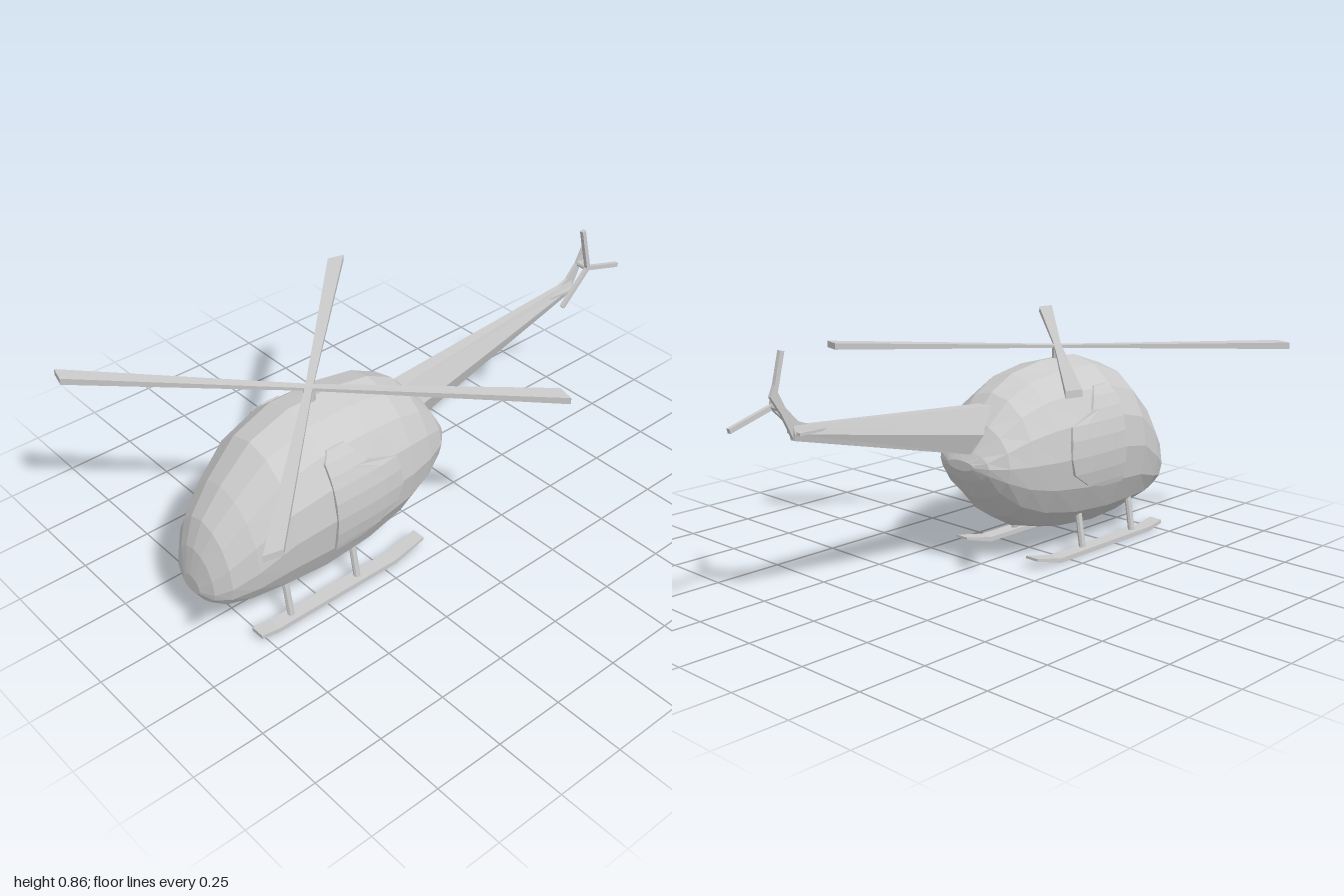
import * as THREE from 'three';

const material = new THREE.MeshStandardMaterial({ color: 0xcccccc, flatShading: true });

function part(name, geometry, parent) {
  const mesh = new THREE.Mesh(geometry, material);
  mesh.name = name;
  parent.add(mesh);
  return mesh;
}

// Skin over rings of [x, y, z] points, counterclockwise about +z, ordered toward +z
function loft(rings) {
  const n = rings[0].length, pos = rings.flat(2), index = [];
  rings.slice(1).forEach((_, r) => {
    for (let i = 0; i < n; i++) {
      const a = r * n + i, b = r * n + (i + 1) % n;
      index.push(a, b, b + n, a, b + n, a + n);
    }
  });
  const last = (rings.length - 1) * n;
  for (let i = 1; i < n - 1; i++) {
    index.push(0, i + 1, i, last, last + i, last + i + 1);
  }
  const g = new THREE.BufferGeometry();
  g.setAttribute('position', new THREE.Float32BufferAttribute(pos, 3));
  g.setIndex(index);
  const flat = g.toNonIndexed();
  flat.computeVertexNormals();
  return flat;
}

const rect = (x0, x1, y0, y1, z) => [[x0, y0, z], [x1, y0, z], [x1, y1, z], [x0, y1, z]];

// Cabin stations: z, bottom, widest height, top, half width
const stations = [
  [-0.10, 0.36, 0.38, 0.395, 0.06],
  [-0.08, 0.32, 0.38, 0.43, 0.115],
  [-0.03, 0.25, 0.38, 0.52, 0.165],
  [0.05, 0.165, 0.38, 0.605, 0.2],
  [0.15, 0.11, 0.38, 0.655, 0.225],
  [0.30, 0.07, 0.38, 0.68, 0.24],
  [0.48, 0.052, 0.38, 0.678, 0.242],
  [0.63, 0.06, 0.35, 0.625, 0.22],
  [0.75, 0.08, 0.28, 0.515, 0.185],
  [0.83, 0.105, 0.23, 0.42, 0.145],
  [0.87, 0.135, 0.2, 0.33, 0.1],
  [0.89, 0.165, 0.19, 0.23, 0.045],
];

function cabinRing([z, bottom, mid, top, w]) {
  return Array.from({ length: 16 }, (_, i) => {
    const a = i * Math.PI / 8, s = Math.sin(a);
    return [w * Math.cos(a), mid + s * (s > 0 ? top - mid : mid - bottom), z];
  });
}

// Half width of the cabin at a given z and y
function cabinX(z, y) {
  const k = stations.findIndex((s, i) => i > 0 && s[0] >= z);
  const t = (z - stations[k - 1][0]) / (stations[k][0] - stations[k - 1][0]);
  const [, bottom, mid, top, w] = stations[k].map((v, i) => THREE.MathUtils.lerp(stations[k - 1][i], v, t));
  const s = (y - mid) / (y > mid ? top - mid : mid - bottom);
  return w * Math.sqrt(Math.max(0, 1 - s * s));
}

// Raised door following the cabin side, with its rim turned inward
function doorGeometry(side) {
  // y, rear z, front z
  const rows = [[0.25, 0.38, 0.485], [0.27, 0.3, 0.485], [0.32, 0.225, 0.485], [0.38, 0.205, 0.485],
    [0.44, 0.21, 0.485], [0.49, 0.22, 0.485], [0.53, 0.335, 0.485], [0.57, 0.365, 0.485], [0.6, 0.39, 0.46]];
  const all = [rows[0], ...rows, rows[rows.length - 1]];
  const cols = [0, 0, 0.25, 0.5, 0.75, 1, 1], n = cols.length, pos = [], index = [];
  all.forEach(([y, z0, z1], r) => cols.forEach((t, c) => {
    const z = z0 + (z1 - z0) * t;
    const rim = r === 0 || r === all.length - 1 || c === 0 || c === n - 1;
    pos.push(side * (cabinX(z, y) + (rim ? -0.02 : 0.007)), y, z);
    if (r && c) {
      const d = r * n + c, a = d - n - 1, b = d - n, e = d - 1;
      index.push(...(side > 0 ? [a, e, d, a, d, b] : [a, d, e, a, b, d]));
    }
  }));
  const g = new THREE.BufferGeometry();
  g.setAttribute('position', new THREE.Float32BufferAttribute(pos, 3));
  g.setIndex(index);
  const flat = g.toNonIndexed();
  flat.computeVertexNormals();
  return flat;
}

// Cylinder between two points
function rod(name, from, to, radius, parent) {
  const a = new THREE.Vector3(...from), b = new THREE.Vector3(...to);
  const dir = b.clone().sub(a);
  const mesh = part(name, new THREE.CylinderGeometry(radius, radius, dir.length(), 8), parent);
  mesh.position.copy(a).add(b).multiplyScalar(0.5);
  mesh.quaternion.setFromUnitVectors(new THREE.Vector3(0, 1, 0), dir.normalize());
}

export function createModel() {
  const model = new THREE.Group();
  model.name = 'helicopter';

  part('cabin', loft(stations.map(cabinRing)), model);

  // Tapered tail boom: z, bottom, top, half width
  const boomRing = ([z, y0, y1, w]) => {
    const m = y0 + (y1 - y0) * 0.45;
    return [[w, m, z], [w * 0.45, y1, z], [-w * 0.45, y1, z], [-w, m, z], [-w * 0.6, y0, z], [w * 0.6, y0, z]];
  };
  part('tailBoom', loft([[-0.81, 0.595, 0.642, 0.014], [0.03, 0.39, 0.567, 0.062]].map(boomRing)), model);

  // Swept tail fin
  const finShape = new THREE.Shape([[-0.69, 0.615], [-0.81, 0.6], [-0.85, 0.68], [-0.89, 0.74], [-0.875, 0.775],
    [-0.835, 0.7], [-0.79, 0.652]].map(p => new THREE.Vector2(...p)));
  const fin = new THREE.ExtrudeGeometry(finShape, { depth: 0.012, bevelEnabled: false });
  fin.translate(0, 0, -0.006).rotateY(-Math.PI / 2);
  part('tailFin', fin, model);
  part('stabilizer', loft([rect(-0.03, 0.03, 0.612, 0.622, -0.805), rect(-0.015, 0.015, 0.608, 0.616, -0.69)]), model);

  // Main rotor: four widening blades with slanted tips
  const rotor = new THREE.Group();
  rotor.name = 'mainRotor';
  rotor.position.set(0, 0.72, 0.39);
  model.add(rotor);
  const tip = [[-0.032, -0.008, 0.817], [0.021, -0.008, 0.785], [0.021, 0.015, 0.785], [-0.032, 0.015, 0.817]];
  const bladeGeometry = loft([rect(-0.012, 0.012, -0.005, 0.005, -0.01), tip]);
  for (let i = 0; i < 4; i++) {
    part('mainBlade', bladeGeometry, rotor).rotation.y = Math.PI / 4 + i * Math.PI / 2;
  }
  rod('mast', [0, 0.65, 0.39], [0, 0.722, 0.39], 0.02, model);

  // Three-bladed tail rotor on the left side
  const tailRotor = new THREE.Group();
  tailRotor.name = 'tailRotor';
  tailRotor.position.set(0.047, 0.698, -0.845);
  model.add(tailRotor);
  const tailBlade = new THREE.BoxGeometry(0.014, 0.17, 0.016).translate(0, 0.083, 0);
  for (let i = 0; i < 3; i++) {
    part('tailBlade', tailBlade, tailRotor).rotation.x = 0.24 + i * Math.PI * 2 / 3;
  }
  rod('tailAxle', [0, 0.698, -0.845], [0.05, 0.698, -0.845], 0.011, model);

  // Doors and landing gear on both sides
  for (const side of [1, -1]) {
    const label = side > 0 ? 'left' : 'right';
    part(label + 'Door', doorGeometry(side), model);
    const x = side * 0.169;
    // z, underside, top
    const skid = [[0.075, 0.039, 0.048], [0.2, 0.003, 0.02], [0.7, 0.003, 0.02], [0.77, 0.018, 0.032]];
    part(label + 'Skid', loft(skid.map(([z, y0, y1]) => rect(x - 0.026, x + 0.026, y0, y1, z))), model);
    for (const z of [0.35, 0.63]) {
      rod(label + 'Strut', [side * 0.166, 0.012, z], [side * 0.14, 0.16, z], 0.012, model);
    }
  }
  return model;
}
